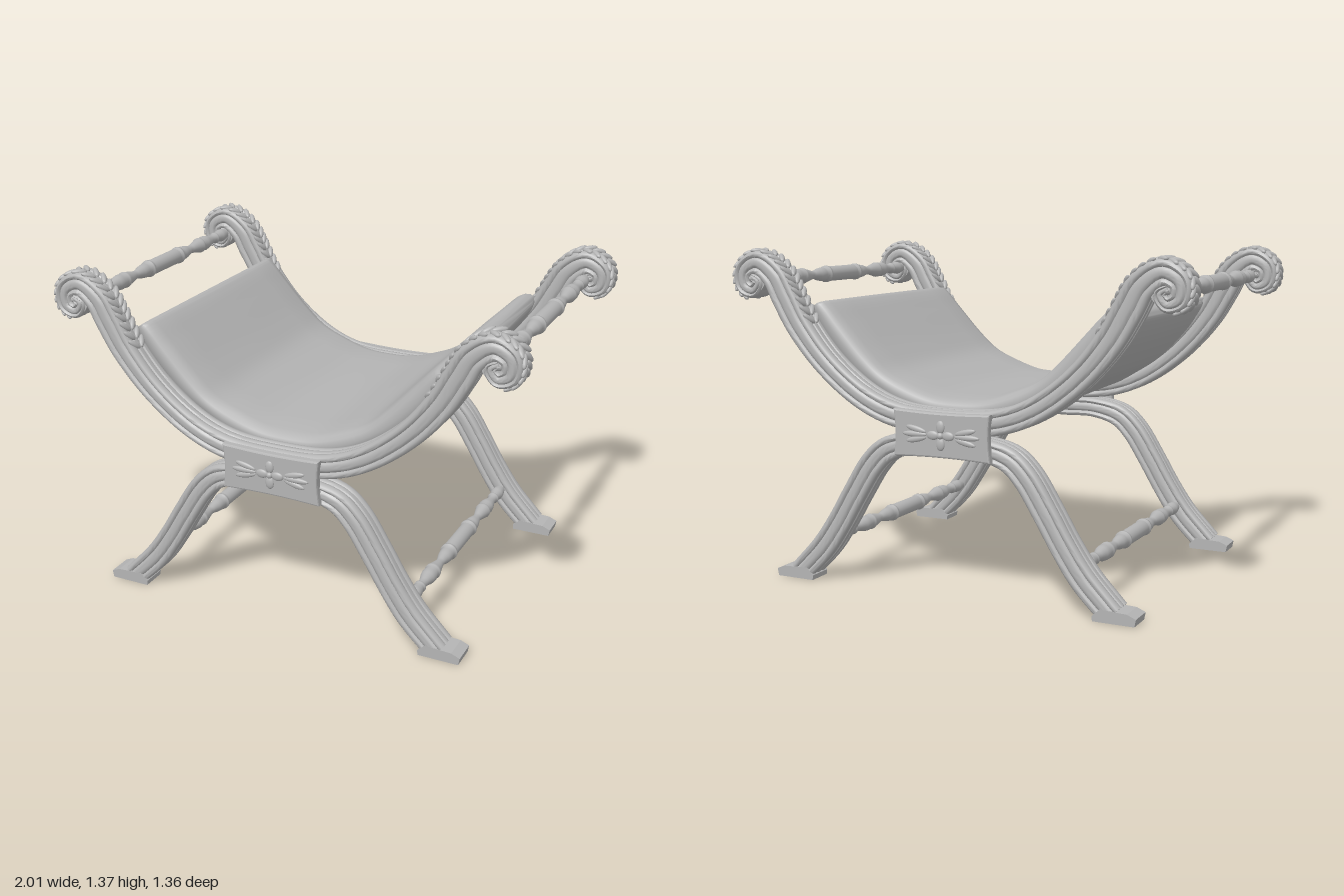
import * as THREE from 'three';
import { toCreasedNormals } from 'three/addons/utils/BufferGeometryUtils.js';

const gray = new THREE.MeshStandardMaterial({ color: 0xb4b4b4 });
gray.name = 'plain gray';

const V = (x, y, z) => new THREE.Vector3(x, y, z);

// Half path of [x, y, halfThickness] from the centre outward, mirrored into one curve
function mirroredCurve(half) {
  const left = half.slice(1).reverse().map(([x, y, w]) => V(-x, y, w));
  return new THREE.CatmullRomCurve3([...left, ...half.map((p) => V(...p))]);
}

// Quarter cross-section [normal, z] mirrored into a closed ring
function fullSection(q) {
  const half = [...q, ...q.slice(0, -1).reverse().map(([n, z]) => [-n, z])];
  return [...half, ...half.slice(1, -1).reverse().map(([n, z]) => [n, -z])];
}

function frameAt(curve, t) {
  const p = curve.getPoint(t);
  const a = curve.getPoint(Math.max(0, t - 0.002)), b = curve.getPoint(Math.min(1, t + 0.002));
  const T = V(b.x - a.x, b.y - a.y, 0).normalize();
  return { p, T, N: V(-T.y, T.x, 0) };
}

// Sweep a section along an upright curve whose z stores the half thickness
function sweep(curve, section, depth, steps, crease) {
  const pos = [], idx = [], m = section.length;
  for (let i = 0; i <= steps; i++) {
    const { p, N } = frameAt(curve, i / steps);
    for (const [n, z] of section) {
      pos.push(p.x + N.x * n * p.z, Math.max(0, p.y + N.y * n * p.z), z * depth);
    }
  }
  for (let i = 0; i < steps; i++) for (let j = 0; j < m; j++) {
    const k = (j + 1) % m, a = i * m + j, b = i * m + k;
    idx.push(a, b, a + m, b, b + m, a + m);
  }
  for (const end of [0, 1]) {
    const { p } = frameAt(curve, end), c = pos.length / 3, o = end * steps * m;
    pos.push(p.x, p.y, 0);
    for (let j = 0; j < m; j++) {
      const k = (j + 1) % m;
      if (end) idx.push(c, o + j, o + k); else idx.push(c, o + k, o + j);
    }
  }
  const g = new THREE.BufferGeometry();
  g.setAttribute('position', new THREE.Float32BufferAttribute(pos, 3));
  g.setIndex(idx);
  return toCreasedNormals(g, crease);
}

function add(parent, name, geo, x = 0, y = 0, z = 0) {
  const mesh = new THREE.Mesh(geo, gray);
  mesh.name = name;
  mesh.position.set(x, y, z);
  parent.add(mesh);
  return mesh;
}

// Reeded moulding shared by arms and legs
const reeded = fullSection([[1, 0], [0.97, 0.2], [0.84, 0.31], [0.97, 0.42], [1, 0.6], [0.96, 0.8],
  [0.82, 0.95], [0.66, 1], [0.52, 0.95], [0.42, 0.82], [0.32, 0.94], [0.15, 0.99], [0, 1]]);
const cushion = fullSection([[1.08, 0], [1.07, 0.3], [1, 0.65], [0.97, 0.9], [0.8, 0.965], [0.5, 0.995], [0, 1]]);

const armHalf = [[0, 0.71, 0.05], [0.22, 0.725, 0.05], [0.38, 0.785, 0.05], [0.55, 0.91, 0.052],
  [0.68, 1.06, 0.057], [0.75, 1.18, 0.06], [0.8, 1.265, 0.057], [0.88, 1.315, 0.05], [0.945, 1.28, 0.043],
  [0.945, 1.22, 0.038], [0.9, 1.2, 0.03], [0.872, 1.235, 0.024], [0.905, 1.26, 0.014]];
const legHalf = [[0, 0.615, 0.045], [0.15, 0.615, 0.045], [0.27, 0.583, 0.05], [0.34, 0.52, 0.052],
  [0.425, 0.39, 0.052], [0.5, 0.265, 0.052], [0.58, 0.15, 0.053], [0.7, 0.025, 0.05]];
const seatHalf = [[0, 0.745, 0.043], [0.12, 0.752, 0.044], [0.25, 0.787, 0.05], [0.36, 0.842, 0.045],
  [0.45, 0.91, 0.052], [0.57, 1.035, 0.053], [0.63, 1.11, 0.045], [0.65, 1.135, 0.036], [0.657, 1.144, 0.022]];

// Carved leaves in a herringbone over each scroll
function addLeaves(parent, curve) {
  const M = armHalf.length - 1;
  const leaf = new THREE.SphereGeometry(1, 12, 8);
  for (const side of [-1, 1]) for (let k = 4; k <= 9.6; k += 0.3) for (const s of [-1, 1]) {
    const { p, T, N } = frameAt(curve, 0.5 + side * k / (2 * M));
    const along = T.clone().multiplyScalar(side * 0.75).add(V(0, 0, s * 0.66)).normalize();
    const across = V().crossVectors(N, along);
    const mesh = add(parent, 'scrollLeaf', leaf);
    const basis = new THREE.Matrix4().makeBasis(along, N, across).setPosition(
      p.x + N.x * p.z * 0.98, p.y + N.y * p.z * 0.98, s * 0.026);
    basis.multiply(new THREE.Matrix4().makeScale(0.032, 0.011, 0.012));
    basis.decompose(mesh.position, mesh.quaternion, mesh.scale);
  }
}

// Carved plaque at the crossing of arms and legs, facing +z
function makePlaque() {
  const g = new THREE.Group();
  g.name = 'crossingPlaque';
  const s = new THREE.Shape();
  s.moveTo(-0.205, -0.088);
  s.quadraticCurveTo(0, -0.075, 0.205, -0.088);
  s.quadraticCurveTo(0.19, 0, 0.205, 0.088);
  s.quadraticCurveTo(0, 0.075, -0.205, 0.088);
  s.quadraticCurveTo(-0.19, 0, -0.205, -0.088);
  add(g, 'plaqueBoard', new THREE.ExtrudeGeometry(s, {
    depth: 0.022, bevelThickness: 0.007, bevelSize: 0.007, bevelSegments: 2, curveSegments: 10 }));
  const ball = new THREE.SphereGeometry(1, 16, 10);
  const blob = (name, x, y, sx, sy, sz, rot = 0) => {
    const b = add(g, name, ball, x, y, 0.029);
    b.scale.set(sx, sy, sz);
    b.rotation.z = rot;
  };
  blob('flowerCentre', 0, 0, 0.014, 0.014, 0.014);
  for (let i = 0; i < 4; i++) {
    const a = i * Math.PI / 2;
    blob('petal', Math.cos(a) * 0.034, Math.sin(a) * 0.034, 0.026, 0.018, 0.009, a);
  }
  for (const d of [-1, 1]) {
    blob('plaqueLeaf', d * 0.115, 0, 0.055, 0.012, 0.009);
    for (const v of [-1, 1]) blob('plaqueLeaf', d * 0.108, v * 0.02, 0.046, 0.012, 0.008, d * v * 0.22);
  }
  return g;
}

// One end frame; the back one is the same turned around
function makeFrame() {
  const g = new THREE.Group();
  g.name = 'endFrame';
  const arm = mirroredCurve(armHalf);
  add(g, 'scrolledArms', sweep(arm, reeded, 0.053, 160, 0.7));
  add(g, 'curvedLegs', sweep(mirroredCurve(legHalf), reeded, 0.053, 90, 0.7));
  addLeaves(g, arm);
  for (const side of [-1, 1]) {
    const disc = add(g, 'scrollCore', new THREE.CylinderGeometry(0.062, 0.062, 0.085, 28), side * 0.898, 1.25);
    disc.rotation.x = Math.PI / 2;
    const eye = add(g, 'scrollEye', new THREE.SphereGeometry(1, 16, 12), side * 0.902, 1.25);
    eye.scale.set(0.024, 0.024, 0.055);
    const foot = new THREE.Shape();
    [[0.63, 0], [0.8, 0], [0.806, 0.03], [0.77, 0.045], [0.66, 0.05], [0.628, 0.02]]
      .forEach(([x, y], i) => (i ? foot.lineTo(side * x, y) : foot.moveTo(side * x, y)));
    add(g, 'foot', new THREE.ExtrudeGeometry(foot, { depth: 0.106, bevelEnabled: false }), 0, 0, -0.053);
  }
  const plaque = makePlaque();
  plaque.position.set(0, 0.665, 0.05);
  g.add(plaque);
  return g;
}

// Turned stretcher running front to back
function makeStretcherGeometry() {
  const half = [[0.033, 0], [0.033, 0.1], [0.028, 0.108], [0.037, 0.114], [0.037, 0.124], [0.027, 0.13],
    [0.031, 0.15], [0.027, 0.18], [0.018, 0.215], [0.019, 0.235], [0.028, 0.275], [0.03, 0.29], [0.034, 0.298],
    [0.034, 0.308], [0.028, 0.316], [0.033, 0.34], [0.03, 0.365], [0.02, 0.4], [0.018, 0.43], [0.025, 0.438],
    [0.025, 0.448], [0.02, 0.455], [0.028, 0.485], [0.028, 0.505], [0.021, 0.54]];
  const pts = [...half.slice(1).reverse().map(([r, y]) => [r, -y]), ...half];
  return new THREE.LatheGeometry(pts.map(([r, y]) => new THREE.Vector2(r, y)), 24).rotateX(Math.PI / 2);
}

export function createModel() {
  const model = new THREE.Group();
  model.name = 'foldingStyleChair';

  const front = makeFrame();
  front.name = 'frontFrame';
  front.position.z = 0.587;
  const back = makeFrame();
  back.name = 'backFrame';
  back.position.z = -0.587;
  back.rotation.y = Math.PI;
  model.add(front, back);

  add(model, 'slungSeat', sweep(mirroredCurve(seatHalf), cushion, 0.537, 96, 0.9));

  const turned = makeStretcherGeometry();
  for (const side of [-1, 1]) {
    add(model, 'handRail', turned, side * 0.88, 1.245, 0);
    add(model, 'legStretcher', turned, side * 0.555, 0.185, 0);
  }
  return model;
}
